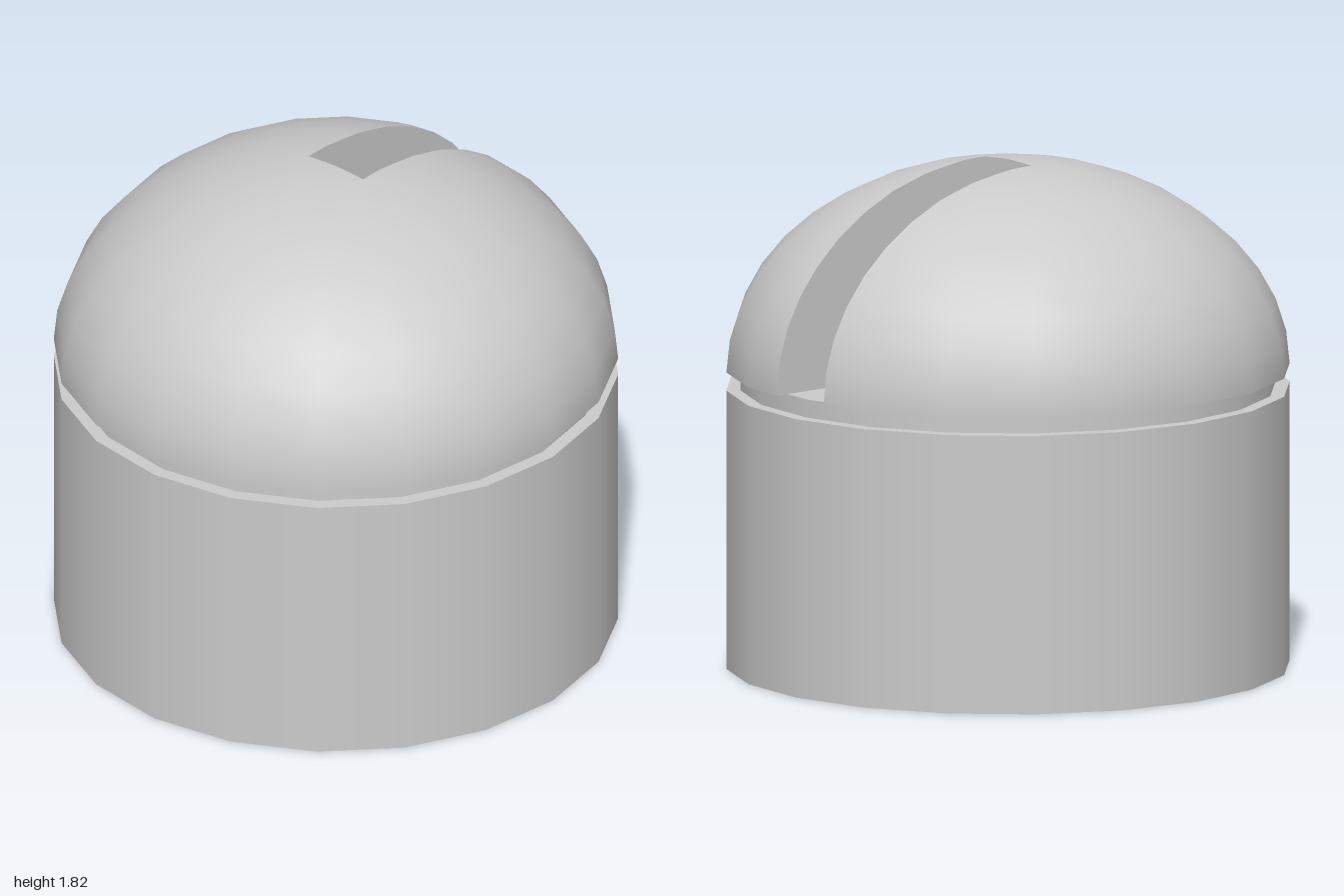
import * as THREE from 'three';

const SIDES = 20;
const BASE_H = 1;
const DOME_Y = 1.065; // underside of the dome
const DOME_H = 0.75;
const SLIT = 0.125; // half width of the slit

const grey = new THREE.MeshStandardMaterial({ color: 0xcccccc });
const greyBoth = new THREE.MeshStandardMaterial({ color: 0xcccccc, side: THREE.DoubleSide });

// Keep the part of a convex polygon where dist(vertex) >= 0
function clipPolygon(poly, dist) {
  const out = [];
  poly.forEach((a, i) => {
    const b = poly[(i + 1) % poly.length];
    const da = dist(a), db = dist(b);
    if (da >= -1e-7) out.push(a);
    if ((da > 1e-7 && db < -1e-7) || (da < -1e-7 && db > 1e-7)) {
      const t = da / (da - db);
      out.push(a.map((v, k) => v + (b[k] - v) * t));
    }
  });
  return out;
}

// The surface outside the slit, as three convex regions
const regions = [
  [v => -v[0]],
  [v => v[0], v => v[2] - SLIT],
  [v => v[0], v => -v[2] - SLIT],
];

// Cut the slit out of a geometry, keeping its smooth normals
function cutSlit(geometry) {
  const g = geometry.toNonIndexed();
  const p = g.attributes.position, n = g.attributes.normal;
  const positions = [], normals = [];
  for (let i = 0; i < p.count; i += 3) {
    const tri = [i, i + 1, i + 2].map(k =>
      [p.getX(k), p.getY(k), p.getZ(k), n.getX(k), n.getY(k), n.getZ(k)]);
    for (const planes of regions) {
      const poly = planes.reduce(clipPolygon, tri);
      for (let k = 1; k + 1 < poly.length; k++) {
        for (const v of [poly[0], poly[k], poly[k + 1]]) {
          positions.push(...v.slice(0, 3));
          normals.push(...v.slice(3));
        }
      }
    }
  }
  const out = new THREE.BufferGeometry();
  out.setAttribute('position', new THREE.Float32BufferAttribute(positions, 3));
  out.setAttribute('normal', new THREE.Float32BufferAttribute(normals, 3));
  return out;
}

// Distinct points of the cut edge, as (u, y) sorted along u
function edgePoints(geometry, test, axis) {
  const p = geometry.attributes.position;
  const found = new Map();
  for (let i = 0; i < p.count; i++) {
    const v = new THREE.Vector3().fromBufferAttribute(p, i);
    if (test(v)) found.set(v[axis].toFixed(4), new THREE.Vector2(v[axis], v.y));
  }
  return [...found.values()].sort((a, b) => a.x - b.x);
}

export function createModel() {
  const model = new THREE.Group();
  model.name = 'observatory';
  const add = (name, geometry, material = grey, parent = model) => {
    const mesh = new THREE.Mesh(geometry, material);
    mesh.name = name;
    parent.add(mesh);
    return mesh;
  };

  // Drum and the recessed ring under the dome
  add('base', new THREE.CylinderGeometry(1, 1, BASE_H, SIDES)).position.y = BASE_H / 2;
  const neckH = DOME_Y - BASE_H;
  add('neckRing', new THREE.CylinderGeometry(0.95, 0.95, neckH, SIDES))
    .position.y = BASE_H + neckH / 2;

  // Flattened dome with a slit from the crown down the +x side
  const dome = new THREE.Group();
  dome.name = 'dome';
  dome.position.y = DOME_Y;
  model.add(dome);
  const sphere = new THREE.SphereGeometry(1, SIDES, 10, 0, Math.PI * 2, 0, Math.PI / 2);
  const shell = cutSlit(sphere.scale(1, DOME_H, 1));
  add('domeShell', shell, grey, dome);
  add('domeUnderside', cutSlit(new THREE.CircleGeometry(1, SIDES).rotateX(Math.PI / 2)), grey, dome);

  // Two side walls of the slit
  const near = (a, b) => Math.abs(a - b) < 1e-4;
  const arc = edgePoints(shell, v => near(v.z, SLIT) && v.x > -1e-4, 'x');
  for (const side of [-1, 1]) {
    const wall = new THREE.ShapeGeometry(new THREE.Shape([new THREE.Vector2(0, 0), ...arc]));
    add('slitSideWall', wall.translate(0, 0, side * SLIT), greyBoth, dome);
  }

  // End wall of the slit below the crown
  const crown = edgePoints(shell, v => near(v.x, 0) && Math.abs(v.z) < SLIT + 1e-4, 'z');
  const end = new THREE.Shape([
    new THREE.Vector2(SLIT, 0), new THREE.Vector2(-SLIT, 0), ...crown,
  ]);
  add('slitEndWall', new THREE.ShapeGeometry(end).rotateY(Math.PI / 2), greyBoth, dome);

  return model;
}
